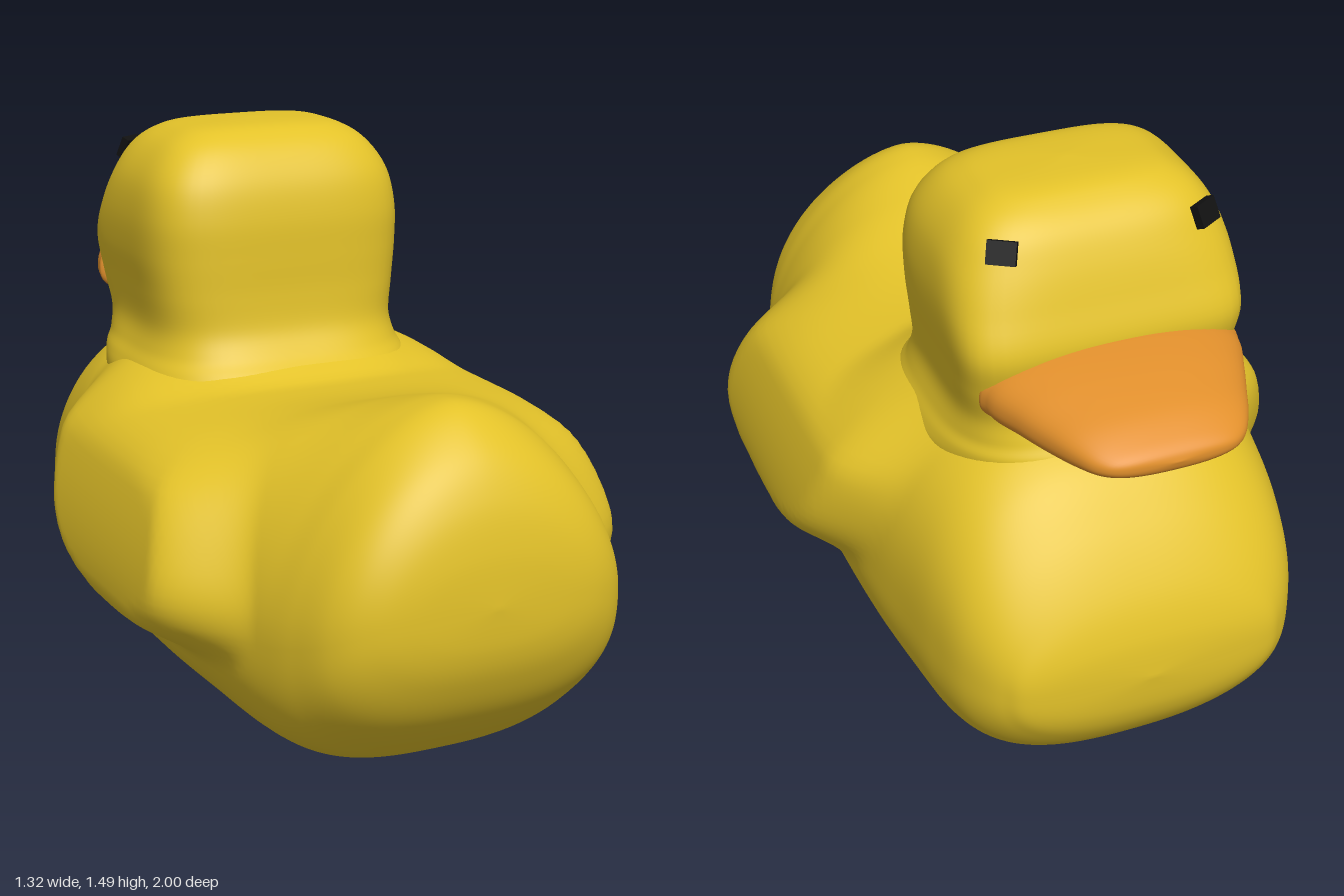
import * as THREE from 'three';
import { mergeVertices } from 'three/addons/utils/BufferGeometryUtils.js';

const { smoothstep } = THREE.MathUtils;

// Smoothly samples a table of rows at t in 0..1 (Catmull-Rom)
function sampleRows(rows, t) {
  const n = rows.length - 1;
  const i = Math.min(Math.floor(t * n), n - 1);
  const f = t * n - i;
  const at = k => rows[Math.max(0, Math.min(n, k))];
  return rows[0].map((_, c) => {
    const [a, b, d, e] = [at(i - 1)[c], at(i)[c], at(i + 1)[c], at(i + 2)[c]];
    return b + 0.5 * f * (d - a + f * (2 * a - 5 * b + 4 * d - e + f * (3 * (b - d) + e - a)));
  });
}

// Lofts rings of points, ring(row, cos, sin) giving each point
function loft(rows, steps, sides, ring) {
  const positions = [], index = [];
  for (let i = 0; i <= steps; i++) {
    const row = sampleRows(rows, i / steps);
    for (let j = 0; j < sides; j++) {
      const a = (j / sides) * Math.PI * 2;
      positions.push(...ring(row, Math.cos(a), Math.sin(a)));
      if (i === steps) continue;
      const p = i * sides + j, q = i * sides + (j + 1) % sides;
      index.push(p, p + sides, q, q, p + sides, q + sides);
    }
  }
  let geometry = new THREE.BufferGeometry();
  geometry.setAttribute('position', new THREE.Float32BufferAttribute(positions, 3));
  geometry.setIndex(index);
  geometry = mergeVertices(geometry, 1e-5);
  geometry.computeVertexNormals();
  return geometry;
}

// Radius of a unit superellipse in direction (c, s)
const superRadius = (c, s, n) => (Math.abs(c) ** n + Math.abs(s) ** n) ** (-1 / n);

// Upright ring; row = z, bottom, middle, top, half width, upper and lower squareness
function uprightRing([z, bottom, middle, top, w, upper, lower], c, s) {
  const r = superRadius(c, s, s > 0 ? upper : lower);
  return [w * r * c, middle + (s > 0 ? top - middle : middle - bottom) * r * s, z];
}

// Level ring; row = y, back z, front z, half width, back and front squareness
function levelRing([y, back, front, w, rear, fore], c, s) {
  const r = superRadius(c, s, s > 0 ? rear : fore);
  return [w * r * c, y, (back + front) / 2 + (back - front) / 2 * r * s];
}

// Body ring with folded wings swelling out of the flanks and a rise around the neck
function bodyRing(row, c, s) {
  const [x, y, z] = uprightRing(row, c, s);
  const dy = y - 0.58;
  const dz = z - 0.1 + dy * 0.42;
  const reach = superRadius(dz / 0.46, dy / (dy > 0 ? 0.38 : 0.26), 2.7);
  const mask = 1 - smoothstep(1 / reach, 0.72, 1.18);
  const wingX = y < 0.42 ? 0.66 : 0.66 - 0.58 * (y - 0.42) ** 1.7 - 0.04 * smoothstep(y, 0.7, 0.84);
  const swell = Math.max(0, wingX - Math.abs(x)) * mask * smoothstep(Math.abs(x), 0.3, 0.5);
  const neck = 1 / superRadius(x / 0.42, (z + 0.25) / 0.3, 2.5);
  const rise = 0.05 * (1 - smoothstep(neck, 0.7, 1.15)) * smoothstep(s, 0.2, 0.6);
  return [x + Math.sign(x) * swell, y + rise, z];
}

export function createModel() {
  const group = new THREE.Group();
  const yellow = new THREE.MeshStandardMaterial({ color: 0xe3c229 });
  const orange = new THREE.MeshStandardMaterial({ color: 0xe2902c });
  const black = new THREE.MeshStandardMaterial({ color: 0x111111 });
  const add = (name, geometry, material, x = 0, y = 0, z = 0) => {
    const mesh = new THREE.Mesh(geometry, material);
    mesh.name = name;
    mesh.position.set(x, y, z);
    group.add(mesh);
    return mesh;
  };

  // Body, from the tail to the breast
  add('bodyWithWings', loft([
    [1.0, 0.53, 0.53, 0.53, 0, 2, 2.6],
    [0.99, 0.42, 0.53, 0.66, 0.21, 2, 2.6],
    [0.96, 0.33, 0.51, 0.78, 0.32, 1.9, 2.7],
    [0.9, 0.23, 0.48, 0.88, 0.39, 1.8, 2.8],
    [0.8, 0.13, 0.45, 0.955, 0.435, 1.7, 2.8],
    [0.7, 0.06, 0.43, 0.962, 0.465, 1.75, 2.7],
    [0.55, 0.025, 0.42, 0.925, 0.5, 2.1, 2.4],
    [0.35, 0.02, 0.42, 0.868, 0.53, 2.9, 2.2],
    [0.15, 0.02, 0.42, 0.842, 0.54, 3.7, 2.2],
    [-0.1, 0.02, 0.42, 0.85, 0.54, 3.6, 2.2],
    [-0.35, 0.008, 0.42, 0.89, 0.525, 3, 2.3],
    [-0.55, 0, 0.41, 0.925, 0.495, 2.6, 2.4],
    [-0.7, 0.02, 0.4, 0.862, 0.47, 2.6, 2.5],
    [-0.82, 0.08, 0.39, 0.74, 0.435, 2.6, 2.5],
    [-0.91, 0.18, 0.38, 0.605, 0.37, 2.6, 2.5],
    [-0.955, 0.27, 0.38, 0.49, 0.28, 2.5, 2.5],
    [-0.97, 0.38, 0.38, 0.38, 0, 2.5, 2.5],
  ], 144, 120, bodyRing), yellow);

  // Boxy head on a neck that flares into the back
  add('head', loft([
    [0.76, 0.1, -0.7, 0.4, 2.4, 2.4],
    [0.82, 0.07, -0.7, 0.4, 2.5, 2.5],
    [0.86, 0.03, -0.69, 0.385, 2.8, 2.9],
    [0.9, -0.01, -0.665, 0.362, 3.1, 3.5],
    [0.96, -0.045, -0.642, 0.345, 3.6, 5],
    [1.05, -0.057, -0.655, 0.352, 4, 6.5],
    [1.15, -0.06, -0.672, 0.364, 4, 6.5],
    [1.25, -0.065, -0.642, 0.364, 4, 5],
    [1.34, -0.085, -0.608, 0.346, 4, 4],
    [1.41, -0.125, -0.568, 0.305, 4, 4],
    [1.455, -0.175, -0.515, 0.25, 4, 4],
    [1.478, -0.235, -0.455, 0.175, 3.5, 3.5],
    [1.485, -0.345, -0.345, 0, 3, 3],
  ], 72, 96, levelRing), yellow, -0.012);

  // Broad bill, seated in the face
  add('beak', loft([
    [-0.6, 1.05, 1.05, 1.05, 0, 2.4, 2.4],
    [-0.605, 0.95, 1.04, 1.155, 0.3, 2.4, 2.4],
    [-0.65, 0.945, 1.04, 1.158, 0.325, 2.4, 2.4],
    [-0.74, 0.95, 1.04, 1.145, 0.292, 2.4, 2.4],
    [-0.82, 0.957, 1.035, 1.128, 0.258, 2.4, 2.4],
    [-0.9, 0.968, 1.035, 1.105, 0.222, 2.4, 2.4],
    [-0.96, 0.985, 1.03, 1.075, 0.182, 2.4, 2.4],
    [-0.99, 1.005, 1.03, 1.052, 0.125, 2.4, 2.4],
    [-1.0, 1.03, 1.03, 1.03, 0, 2.4, 2.4],
  ], 48, 64, uprightRing), orange, -0.02);

  // Eyes laid against the rounded corners of the face
  for (const [name, side] of [['leftEye', 1], ['rightEye', -1]]) {
    const eye = add(name, new THREE.BoxGeometry(0.07, 0.056, 0.022), black, 0.255 * side - 0.02, 1.388, -0.567);
    eye.rotation.set(0.42, -0.55 * side, 0, 'YXZ');
  }
  return group;
}
